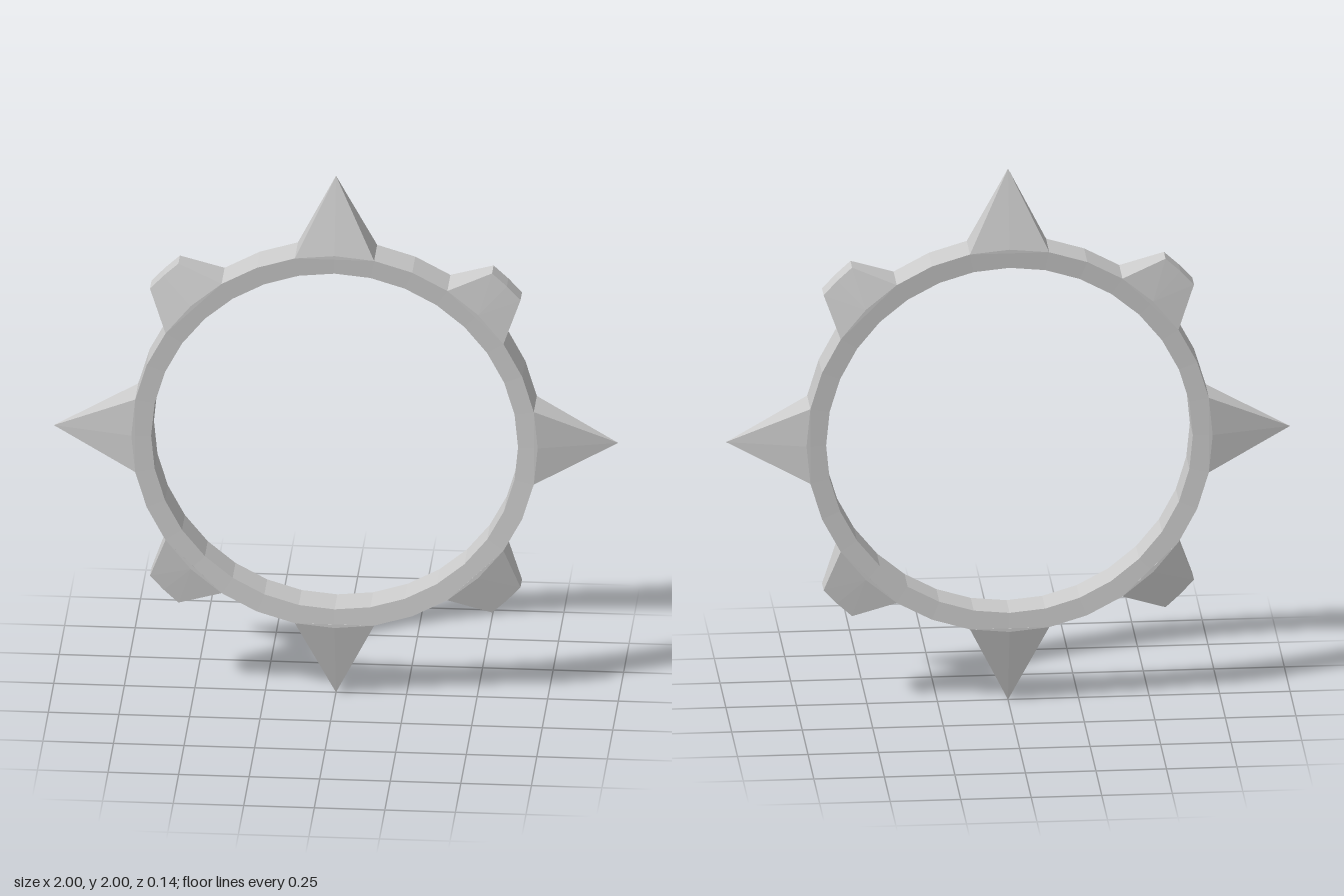
import * as THREE from 'three';
import { ConvexGeometry } from 'three/addons/geometries/ConvexGeometry.js';

const SIDES = 32;
const STEP = (Math.PI * 2) / SIDES;
const OUTER = 0.72, INNER = 0.65, HALF = 0.07;

// Three points on an arc about +y, on both sides of the ring plane
function arcPoints(radius, halfAngle, halfDepth) {
  const points = [];
  for (const a of [-halfAngle, 0, halfAngle]) {
    for (const z of [-halfDepth, halfDepth]) {
      points.push(new THREE.Vector3(Math.sin(a) * radius, Math.cos(a) * radius, z));
    }
  }
  return points;
}

export function createModel() {
  const group = new THREE.Group();
  group.name = 'spikedRing';
  const material = new THREE.MeshStandardMaterial({ color: 0xcccccc, flatShading: true });

  // Faceted band, slightly thinner at its inner edge
  const profile = [
    [OUTER, -HALF], [OUTER, HALF], [INNER, 0.065], [INNER, -0.065], [OUTER, -HALF],
  ].map(([r, y]) => new THREE.Vector2(r, y));
  const band = new THREE.Mesh(new THREE.LatheGeometry(profile, SIDES).rotateX(Math.PI / 2), material);
  band.name = 'band';
  band.position.y = 1;
  group.add(band);

  // Pointed spikes alternate with blunt studs, each rooted on two band facets
  const root = arcPoints(OUTER, STEP, HALF);
  const spike = new ConvexGeometry([...root, new THREE.Vector3(0, 1, 0)]);
  const stud = new ConvexGeometry([...root, ...arcPoints(0.86, 0.083, 0.035)]);
  for (let i = 0; i < 8; i++) {
    const pointed = i % 2 === 0;
    const mesh = new THREE.Mesh(pointed ? spike : stud, material);
    mesh.name = (pointed ? 'spike' : 'stud') + (Math.floor(i / 2) + 1);
    mesh.position.y = 1;
    mesh.rotation.z = (-i * Math.PI) / 4;
    group.add(mesh);
  }
  return group;
}
